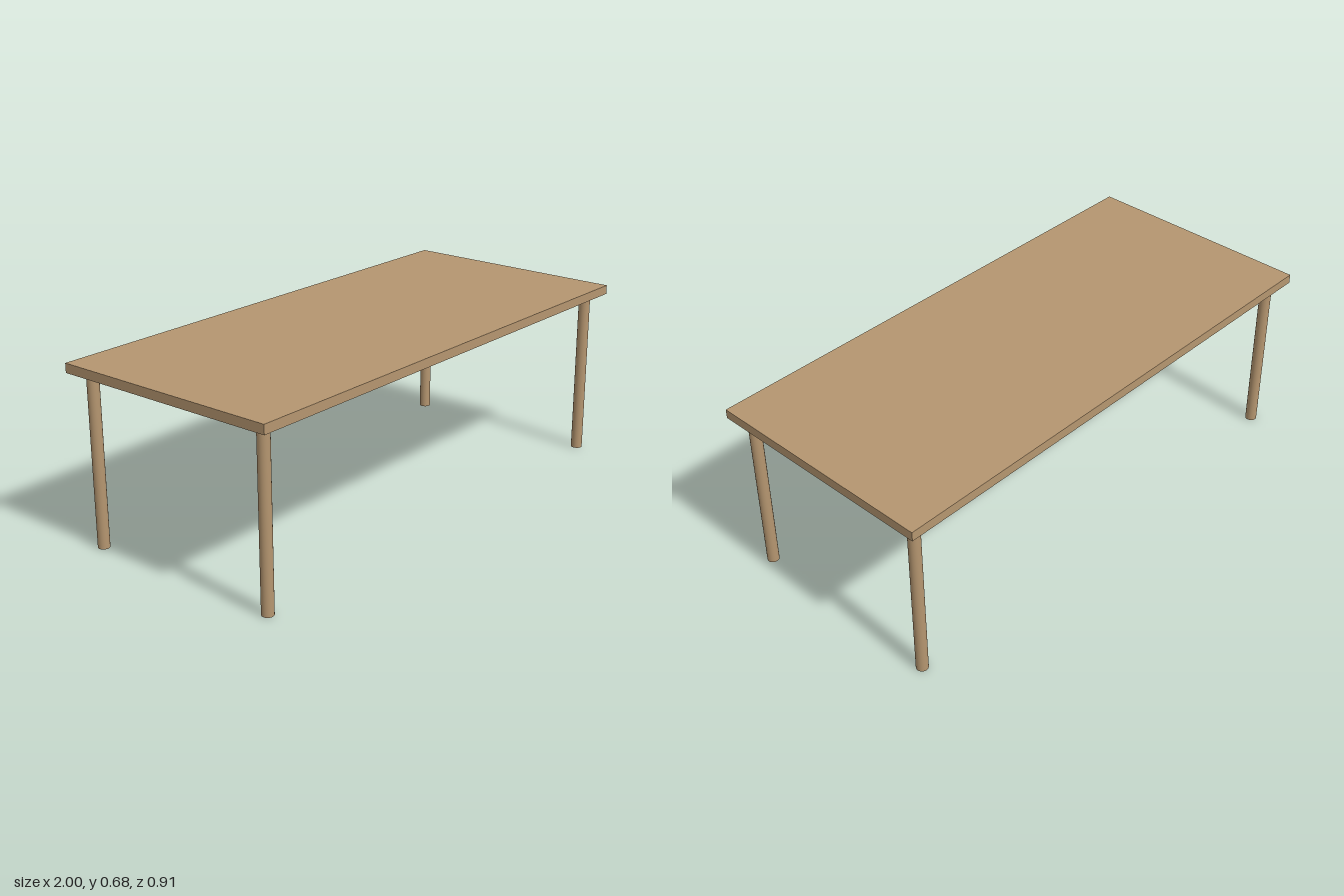
import * as THREE from 'three';

export function createModel() {
  const table = new THREE.Group();
  table.name = 'table';
  const wood = new THREE.MeshStandardMaterial({ color: 0xb59670 });

  const legHeight = 0.649, topThickness = 0.035, legRadius = 0.022;

  // Flat rectangular top
  const top = new THREE.Mesh(new THREE.BoxGeometry(2, topThickness, 0.906), wood);
  top.name = 'tabletop';
  top.position.y = legHeight + topThickness / 2;
  table.add(top);

  // Four round legs, inset from the corners
  const legGeometry = new THREE.CylinderGeometry(legRadius, legRadius, legHeight, 32);
  for (const [side, x] of [['Left', 0.938], ['Right', -0.938]]) {
    for (const [end, z] of [['front', 0.391], ['back', -0.391]]) {
      const leg = new THREE.Mesh(legGeometry, wood);
      leg.name = `${end}${side}Leg`;
      leg.position.set(x, legHeight / 2, z);
      table.add(leg);
    }
  }
  return table;
}
